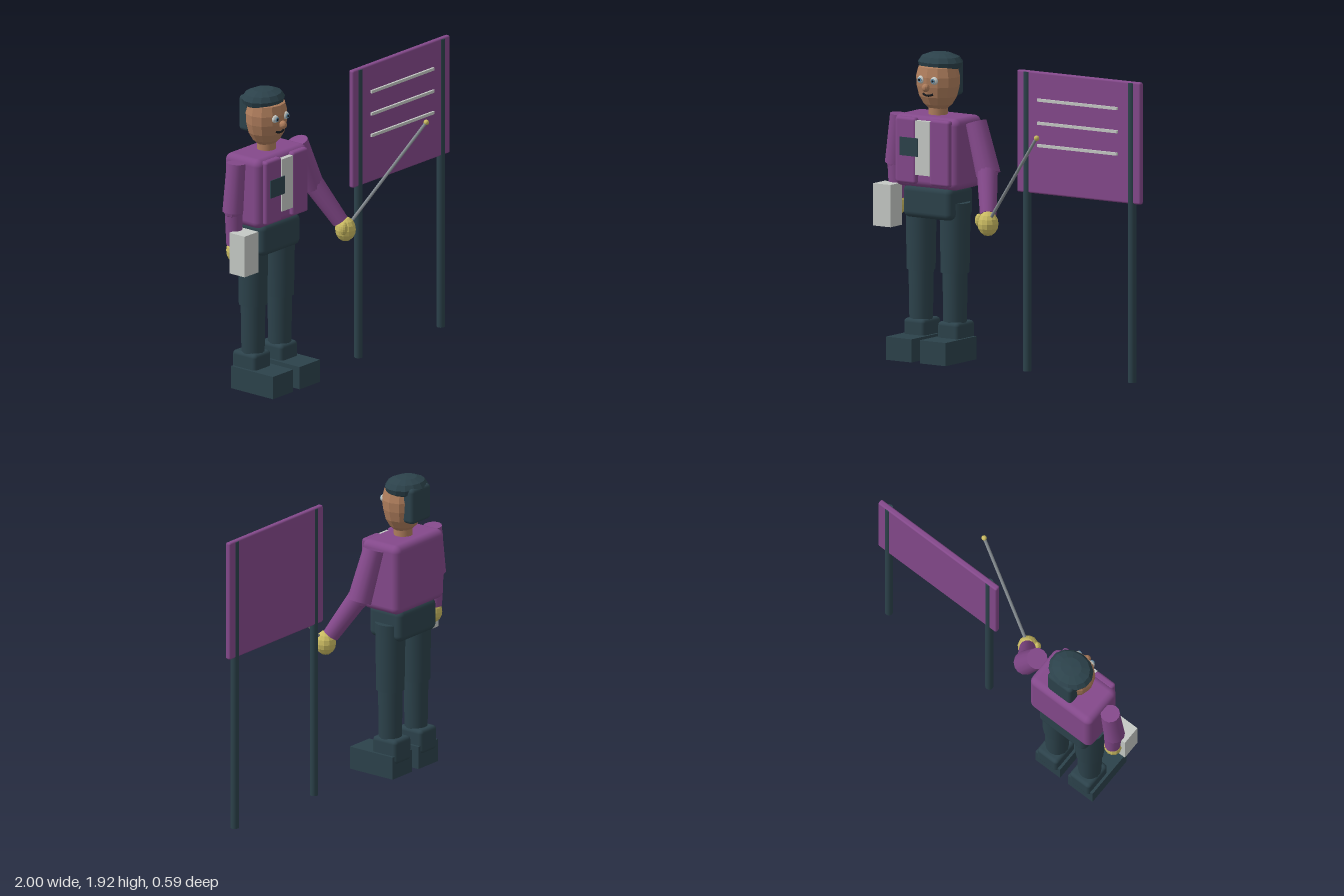
import * as THREE from 'three';
import { RoundedBoxGeometry } from 'three/addons/geometries/RoundedBoxGeometry.js';

const mat = (name, color) => {
  const m = new THREE.MeshStandardMaterial({ color });
  m.name = name;
  return m;
};

export function createModel() {
  const purple = mat('purple', 0x84498b);
  const dark = mat('dark slate', 0x2c424b);
  const skin = mat('skin', 0xae7d5c);
  const yellow = mat('glove yellow', 0xcabb62);
  const paper = mat('pale grey', 0xc5c9c5);
  const steel = mat('steel grey', 0x868d92);
  const blue = mat('iris blue', 0x5f8ba8);
  const black = mat('black', 0x17191d);

  const root = new THREE.Group();
  root.name = 'presenterWithBoard';
  const figure = new THREE.Group();
  figure.name = 'presenter';
  const stand = new THREE.Group();
  stand.name = 'displayBoard';
  root.add(figure, stand);

  const add = (parent, name, geo, material, x = 0, y = 0, z = 0) => {
    const m = new THREE.Mesh(geo, material);
    m.name = name;
    m.position.set(x, y, z);
    parent.add(m);
    return m;
  };
  // Box from its limits, rounded when r > 0
  const box = (parent, name, material, [x0, x1], [y0, y1], [z0, z1], r = 0) => {
    const s = [x1 - x0, y1 - y0, z1 - z0];
    const geo = r ? new RoundedBoxGeometry(...s, 3, r) : new THREE.BoxGeometry(...s);
    return add(parent, name, geo, material, (x0 + x1) / 2, (y0 + y1) / 2, (z0 + z1) / 2);
  };
  // Tapered rod from point a to point b
  const rod = (parent, name, material, a, b, ra, rb, sides = 14) => {
    const p = new THREE.Vector3(...a), q = new THREE.Vector3(...b);
    const d = q.clone().sub(p);
    const m = add(parent, name, new THREE.CylinderGeometry(rb, ra, d.length(), sides), material);
    m.position.copy(p).add(q).multiplyScalar(0.5);
    m.quaternion.setFromUnitVectors(new THREE.Vector3(0, 1, 0), d.normalize());
    return m;
  };
  const faceted = (geo) => {
    const g = geo.toNonIndexed();
    g.computeVertexNormals();
    return g;
  };
  const blob = (parent, name, material, pos, scale) =>
    add(parent, name, faceted(new THREE.SphereGeometry(1, 12, 8).scale(...scale)), material, ...pos);
  const turned = (points, sides, depth) => faceted(new THREE.LatheGeometry(
    points.map(([r, y]) => new THREE.Vector2(r, y)), sides).scale(1, 1, depth));

  const cx = -0.615; // middle of the figure
  const cz = -0.14;

  // Torso, jacket fronts, shirt and pocket card
  box(figure, 'torso', purple, [-0.857, -0.373], [1.08, 1.53], [-0.287, 0.005], 0.045);
  for (const s of [-1, 1]) {
    const mid = cx + s * 0.127;
    box(figure, 'jacketFront', purple, [mid - 0.075, mid + 0.075], [1.105, 1.52], [-0.02, 0.033], 0.018);
  }
  box(figure, 'shirtFront', paper, [-0.668, -0.562], [1.165, 1.505], [-0.02, 0.032]);
  box(figure, 'pocket', dark, [-0.783, -0.647], [1.28, 1.395], [0.028, 0.039]);
  box(figure, 'hips', dark, [-0.8, -0.43], [0.885, 1.092], [-0.268, -0.008], 0.04);

  // Legs and shoes
  for (const s of [-1, 1]) {
    const leg = new THREE.Group();
    leg.name = s < 0 ? 'rightLeg' : 'leftLeg';
    figure.add(leg);
    const x = cx + s * 0.128;
    rod(leg, 'thigh', dark, [x, 0.55, cz], [x, 0.99, cz], 0.09, 0.097);
    rod(leg, 'shin', dark, [x, 0.15, cz], [x, 0.58, cz], 0.072, 0.079);
    box(leg, 'trouserCuff', dark, [x - 0.08, x + 0.08], [0.09, 0.245], [-0.247, -0.055], 0.025);
    box(leg, 'shoe', dark, [x - 0.097, x + 0.097], [0, 0.145], [-0.235, 0.103]);
  }

  // Right arm, hanging and carrying a case
  const rightArm = new THREE.Group();
  rightArm.name = 'rightArm';
  figure.add(rightArm);
  rod(rightArm, 'upperArm', purple, [-0.937, 1.195, -0.14], [-0.905, 1.505, -0.14], 0.066, 0.06);
  blob(rightArm, 'elbow', purple, [-0.93, 1.2, -0.14], [0.06, 0.06, 0.06]);
  rod(rightArm, 'forearm', purple, [-0.923, 0.98, -0.14], [-0.928, 1.22, -0.14], 0.05, 0.058);
  blob(rightArm, 'hand', yellow, [-0.922, 0.94, -0.135], [0.058, 0.072, 0.055]);
  box(rightArm, 'case', paper, [-1, -0.87], [0.815, 1.08], [-0.115, 0.01]);

  // Left arm, reaching out with the pointer
  const leftArm = new THREE.Group();
  leftArm.name = 'leftArm';
  figure.add(leftArm);
  rod(leftArm, 'upperArm', purple, [-0.215, 1.19, -0.11], [-0.325, 1.505, -0.135], 0.077, 0.066);
  blob(leftArm, 'elbow', purple, [-0.215, 1.2, -0.1], [0.064, 0.064, 0.064]);
  rod(leftArm, 'forearm', purple, [-0.115, 0.965, 0.035], [-0.22, 1.22, -0.105], 0.052, 0.066);
  blob(leftArm, 'hand', yellow, [-0.098, 0.915, 0.063], [0.066, 0.078, 0.066]);
  blob(leftArm, 'thumb', yellow, [-0.147, 0.935, 0.09], [0.025, 0.042, 0.026]);
  rod(leftArm, 'pointer', steel, [-0.07, 0.95, 0.077], [0.42, 1.525, 0.28], 0.01, 0.01, 10);
  blob(leftArm, 'pointerTip', yellow, [0.42, 1.525, 0.28], [0.017, 0.017, 0.017]);

  // Head
  const head = new THREE.Group();
  head.name = 'head';
  head.position.set(cx, 0, cz);
  figure.add(head);
  rod(head, 'neck', skin, [0, 1.5, 0], [0, 1.6, 0], 0.06, 0.06);
  add(head, 'skull', turned([[0, 1.563], [0.06, 1.567], [0.092, 1.595], [0.122, 1.645],
    [0.138, 1.71], [0.141, 1.77], [0.125, 1.83], [0, 1.87]], 12, 0.9), skin);
  add(head, 'cap', turned([[0, 1.805], [0.105, 1.807], [0.138, 1.828], [0.147, 1.858],
    [0.125, 1.89], [0.07, 1.911], [0, 1.917]], 14, 0.86), dark, 0, 0, -0.025);
  box(head, 'backHair', dark, [-0.095, 0.095], [1.64, 1.87], [-0.15, -0.065], 0.025);
  blob(head, 'nose', skin, [0, 1.71, 0.135], [0.024, 0.026, 0.026]);
  // Eyes
  const disc = (r) => new THREE.CylinderGeometry(r, r, 0.006, 14).rotateX(Math.PI / 2);
  for (const s of [-1, 1]) {
    blob(head, 'eyeWhite', paper, [s * 0.05, 1.755, 0.113], [0.026, 0.025, 0.018]);
    add(head, 'iris', disc(0.014), blue, s * 0.05, 1.755, 0.13);
    add(head, 'pupil', disc(0.007), black, s * 0.05, 1.755, 0.133);
  }
  // Smile
  const smile = new THREE.QuadraticBezierCurve3(new THREE.Vector3(-0.038, 1.668, 0.107),
    new THREE.Vector3(0, 1.65, 0.127), new THREE.Vector3(0.038, 1.668, 0.107));
  add(head, 'mouth', new THREE.TubeGeometry(smile, 10, 0.007, 6), black);

  // Board on two posts
  box(stand, 'panel', purple, [0.065, 0.997], [1.12, 1.885], [-0.05, -0.013], 0.012);
  for (const x of [0.135, 0.925]) rod(stand, 'post', dark, [x, 0, -0.03], [x, 1.878, -0.03], 0.026, 0.026, 12);
  for (const y of [1.425, 1.565, 1.71]) {
    box(stand, 'ruledLine', paper, [0.23, 0.83], [y - 0.009, y + 0.009], [-0.014, 0.001]);
  }
  return root;
}
